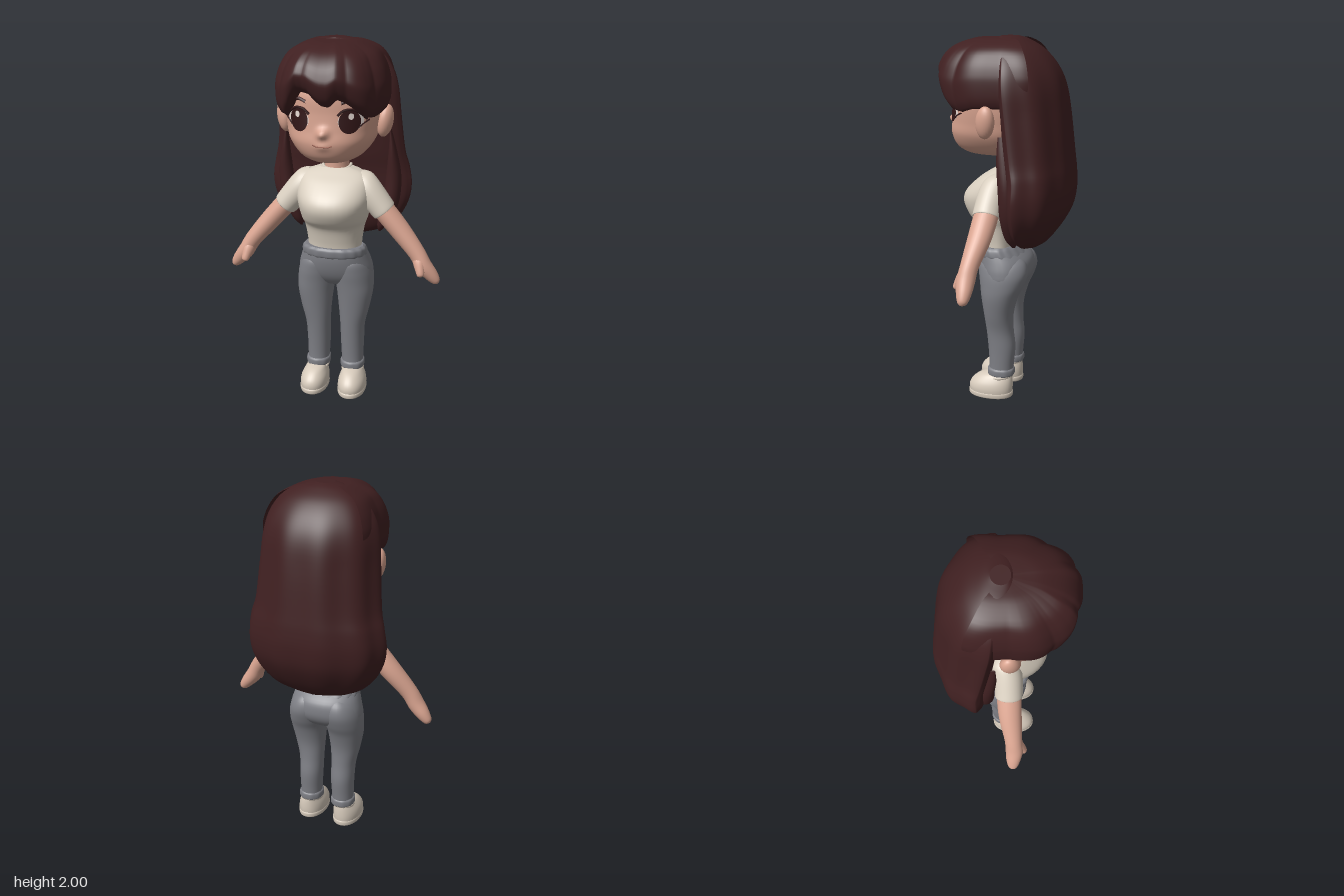
import * as THREE from 'three';

const mat = (name, hex, side = THREE.FrontSide) => {
  const m = new THREE.MeshStandardMaterial({ color: hex, side });
  m.name = name;
  return m;
};

// Catmull-Rom smoothing of section rows
function dense(rows, steps = 5) {
  const out = [], last = rows.length - 1;
  for (let k = 0; k < last; k++) {
    const [p, q, r, s] = [k - 1, k, k + 1, k + 2].map(i => rows[Math.min(last, Math.max(0, i))]);
    for (let j = 0; j < steps; j++) {
      const t = j / steps;
      out.push(q.map((b, c) => 0.5 * (2 * b + (r[c] - p[c]) * t + (2 * p[c] - 5 * b + 4 * r[c] - s[c]) * t * t
        + (3 * b - p[c] - 3 * r[c] + s[c]) * t * t * t)));
    }
  }
  out.push(rows[last]);
  return out;
}

const spow = (v, e) => Math.sign(v) * Math.pow(Math.abs(v), e);
const clamp01 = v => Math.min(1, Math.max(0, v));

function geometry(pos, idx) {
  const g = new THREE.BufferGeometry();
  g.setAttribute('position', new THREE.Float32BufferAttribute(pos, 3));
  g.setIndex(idx);
  g.computeVertexNormals();
  return g;
}

// Closed body from rows [y, rx, zFront, zBack, x, zWidest], lowest row first
function loft(rows, { n = 2, seg = 36, wave = () => 1, steps = 5 } = {}) {
  const full = rows.map(r => [r[0], r[1], r[2], r[3], r[4] ?? 0, r[5] ?? (r[2] + r[3]) / 2]);
  const rings = dense(full, steps), pos = [], idx = [];
  const ring = ([y, rx, zf, zb, x, zc]) => {
    for (let i = 0; i < seg; i++) {
      const a = i / seg * Math.PI * 2, s = spow(Math.sin(a), 2 / n), w = wave(a, y);
      pos.push(x + rx * spow(Math.cos(a), 2 / n) * w, y, zc + (s > 0 ? zf - zc : zc - zb) * s * w);
    }
  };
  rings.forEach(ring);
  for (let j = 0; j < rings.length - 1; j++) for (let i = 0; i < seg; i++) {
    const a = j * seg + i, b = j * seg + (i + 1) % seg;
    idx.push(a, a + seg, b, b, a + seg, b + seg);
  }
  for (const [row, top] of [[rings[0], false], [rings[rings.length - 1], true]]) {
    const o = pos.length / 3;
    ring(row);
    pos.push(row[4], row[0], row[5]);
    for (let i = 0; i < seg; i++) {
      const a = o + i, b = o + (i + 1) % seg;
      idx.push(o + seg, top ? b : a, top ? a : b);
    }
  }
  return geometry(pos, idx);
}

const HEAD = [[1.38, .07, .17, -.02], [1.393, .125, .225, -.06], [1.43, .178, .276, -.12], [1.5, .225, .3, -.17],
  [1.57, .24, .292, -.2], [1.65, .25, .285, -.22], [1.75, .25, .28, -.22], [1.85, .22, .235, -.2], [1.93, .12, .14, -.1]]
  .map(r => [...r, 0, .05]);
const HEAD_N = 2.2, headRings = dense(HEAD, 9);

// Depth of the face surface at a point
function faceZ(x, y) {
  const k = Math.max(1, headRings.findIndex(r => r[0] >= y)), a = headRings[k - 1], b = headRings[k];
  const t = (y - a[0]) / (b[0] - a[0]), rx = a[1] + (b[1] - a[1]) * t, zf = a[2] + (b[2] - a[2]) * t;
  return .05 + (zf - .05) * Math.pow(Math.max(0, 1 - Math.pow(Math.abs(x) / rx, HEAD_N)), 1 / HEAD_N);
}

// Head with a nose and lips raised softly from the face
function headGeometry() {
  const g = loft(HEAD, { n: HEAD_N, seg: 120, steps: 9 }), p = g.attributes.position;
  const bump = (x, y, cy, w, h) => Math.exp(-((x / w) ** 2) - ((y - cy) / h) ** 2);
  for (let i = 0; i < p.count; i++) {
    const x = p.getX(i), y = p.getY(i), z = p.getZ(i);
    if (z > .1) p.setZ(i, z + .036 * bump(x, y, 1.56, .026, .026) + .01 * bump(x, y, 1.493, .035, .022));
  }
  g.computeVertexNormals();
  return g;
}

// Ellipse laid on the face
function faceSpot(x, y, rx, ry, lift) {
  const g = new THREE.RingGeometry(0.001, 1, 32, 5).scale(rx, ry, 1).translate(x, y, 0), p = g.attributes.position;
  for (let i = 0; i < p.count; i++) p.setZ(i, faceZ(p.getX(i), p.getY(i)) + lift);
  g.computeVertexNormals();
  return g;
}

// Thin line drawn on the face
const faceLine = (pts, r, lift = .003) => new THREE.TubeGeometry(new THREE.CatmullRomCurve3(
  pts.map(([x, y]) => new THREE.Vector3(x, y, faceZ(x, y) + lift))), 14, r, 6);

// Fringe: dome over the front of the head, with a lower edge given by angle
function fringe() {
  const edge = [[-115, 1.66], [-75, 1.655], [-58, 1.63], [-45, 1.63], [-33, 1.68], [-22, 1.765], [-10, 1.755], [0, 1.70],
    [4, 1.695], [11, 1.735], [20, 1.715], [33, 1.675], [45, 1.64], [58, 1.63], [75, 1.655], [115, 1.66]];
  const edgeY = d => {
    const k = Math.max(1, edge.findIndex(e => e[0] >= d)), [a, b] = [edge[k - 1], edge[k]];
    return a[1] + (b[1] - a[1]) * (d - a[0]) / (b[0] - a[0]);
  };
  const rows = dense([[0, .002, .002], [.008, .07, .09], [.035, .135, .18], [.15, .22, .268], [.32, .264, .325], [.5, .287, .354],
    [.64, .294, .363], [.84, .294, .345], [.95, .286, .32], [1, .272, .295], [.95, .24, .262]], 4);
  const cols = 138, pos = [], idx = [];
  rows.forEach(([drop, rx, rz], j) => {
    for (let i = 0; i <= cols; i++) {
      const d = -115 + 230 * i / cols, a = d * Math.PI / 180;
      const w = 1 + .045 * clamp01(drop * 4) * (Math.abs(Math.cos(a * 5 - .25)) - .75);
      pos.push(rx * w * spow(Math.sin(a), .8), 1.995 - drop * (1.995 - edgeY(d)), rz * w * spow(Math.cos(a), .8));
      if (j && i) {
        const q = j * (cols + 1) + i, p = q - cols - 1;
        idx.push(p - 1, q - 1, p, p, q - 1, q);
      }
    }
  });
  return geometry(pos, idx);
}

export function createModel() {
  const model = new THREE.Group();
  model.name = 'girl';
  const skin = mat('skin', 0xd9a490), hair = mat('hair', 0x402021, THREE.DoubleSide), shirt = mat('shirt', 0xd9cfc0),
    denim = mat('denim', 0x7e7f85), shoeMat = mat('shoe', 0xd6cabb),
    dark = mat('eyeDark', 0x321718), white = mat('eyeWhite', 0xe6dad4), lip = mat('lip', 0xa86f60);
  const add = (name, geo, m, parent = model) => {
    const mesh = new THREE.Mesh(geo, m);
    mesh.name = name;
    parent.add(mesh);
    return mesh;
  };

  // Head and neck
  add('head', headGeometry(), skin);
  add('neck', loft([[1.27, .078, .05, -.1], [1.32, .067, .045, -.095], [1.42, .066, .05, -.09]]), skin);
  add('mouth', faceLine([[-.05, 1.503], [-.025, 1.494], [0, 1.495], [.025, 1.494], [.05, 1.503]], .0035, .008), lip);

  // Hair
  const strands = (a, y) => 1 + .018 * clamp01((1.97 - y) * 3) * clamp01((.3 - Math.sin(a)) * 3) * Math.cos(10 * a);
  add('backHair', loft([[.88, .05, -.12, -.17, 0, -.14], [.925, .22, -.09, -.235, 0, -.14], [1, .315, -.065, -.295, 0, -.13],
    [1.1, .37, -.05, -.347, 0, -.13], [1.2, .386, -.05, -.365, 0, -.13], [1.3, .372, -.04, -.363, 0, -.13],
    [1.4, .348, -.025, -.353, 0, -.11], [1.6, .327, -.01, -.331, 0, -.08], [1.75, .314, 0, -.305, 0, -.06],
    [1.85, .284, 0, -.26, 0, -.05], [1.93, .224, .02, -.19, 0, -.04], [1.98, .14, .05, -.11, 0, -.03],
    [2, .05, .035, -.06, 0, -.01]], { seg: 120, wave: strands }), hair);
  add('fringe', fringe(), hair);

  // Shirt
  add('shirtBody', loft([[.86, .148, .13, -.05], [.92, .152, .14, -.055], [1, .165, .165, -.065], [1.05, .182, .21, -.075],
    [1.12, .197, .24, -.085], [1.18, .205, .222, -.09], [1.25, .195, .15, -.09], [1.29, .16, .088, -.09],
    [1.315, .085, .045, -.1]].map(r => [...r, 0, .02]), { n: 2.2 }), shirt);
  const collar = add('collar', new THREE.TorusGeometry(.075, .008, 8, 36), shirt);
  collar.rotation.x = Math.PI / 2 + .2;
  collar.position.set(0, 1.318, -.025);

  // Trousers
  add('hips', loft([[.64, .05, .045, -.05], [.66, .14, .085, -.095], [.7, .203, .117, -.13], [.75, .206, .138, -.143],
    [.81, .19, .15, -.13], [.87, .168, .15, -.07]], { n: 2.2 }), denim);
  add('waistband', loft([[.83, .176, .148, -.108], [.842, .18, .156, -.101], [.872, .174, .158, -.078], [.886, .16, .148, -.066]],
    { n: 2.2, seg: 96, wave: a => 1 + .012 * Math.sin(a * 17) }), denim);

  for (const s of [1, -1]) {
    const side = s > 0 ? 'left' : 'right';
    const mirrored = pts => pts.map(([x, y]) => [s * x, y]);

    // Ear
    const ear = add(side + 'Ear', new THREE.SphereGeometry(1, 24, 16).scale(.04, .086, .052), skin);
    ear.position.set(s * .27, 1.587, .042);
    ear.rotation.set(-.15, -s * .3, -s * .15);

    // Eye, lash and brow
    add(side + 'EyeWhite', faceSpot(s * .134, 1.622, .06, .05, .003), white);
    add(side + 'Iris', faceSpot(s * .13, 1.621, .051, .06, .005), dark);
    add(side + 'Highlight', faceSpot(s * .138, 1.648, .013, .016, .007), white);
    add(side + 'Lash', faceLine(mirrored([[.072, 1.652], [.1, 1.677], [.14, 1.682], [.178, 1.66], [.205, 1.628]]), .007), dark);
    add(side + 'LowerLash', faceLine(mirrored([[.17, 1.588], [.19, 1.606], [.215, 1.622]]), .004), dark);
    add(side + 'Brow', faceLine(mirrored([[.09, 1.714], [.13, 1.727], [.18, 1.713]]), .009), hair);

    // Hair lock tip behind the shoulder
    add(side + 'HairLock', loft([[.925, .006, -.09, -.105, s * .225], [.98, .032, -.055, -.13, s * .245], [1.1, .045, -.04, -.14, s * .285],
      [1.25, .042, -.035, -.13, s * .3], [1.4, .022, -.025, -.1, s * .295], [1.52, .004, -.03, -.06, s * .285]], { seg: 20 }), hair);

    // Arm with sleeve, built hanging down and swung outward
    const arm = new THREE.Group();
    arm.name = side + 'Arm';
    arm.position.set(s * .18, 1.2, 0);
    arm.rotation.z = s * .69;
    model.add(arm);
    add(side + 'ArmAndHand', loft([[-.627, .008, .082, .062], [-.612, .024, .097, .045], [-.565, .037, .113, .033], [-.5, .045, .125, .028],
      [-.42, .046, .117, .02, s * .012], [-.27, .055, .11, -.014, s * .01], [-.12, .058, .103, -.028, s * .005], [0, .055, .085, -.03]],
      { seg: 28 }), skin, arm);
    add(side + 'Sleeve', loft([[-.138, .058, .1, -.028, s * .004], [-.142, .066, .11, -.036, s * .004], [-.1, .07, .11, -.038, s * .004],
      [0, .078, .105, -.052], [.06, .07, .085, -.06], [.1, .04, .05, -.04]], { seg: 32 }), shirt, arm);
    const thumb = add(side + 'Thumb', loft([[-.058, .006, .005, -.005], [-.05, .018, .016, -.016], [-.02, .025, .024, -.024],
      [.03, .033, .03, -.03], [.08, .02, .02, -.02]], { seg: 20 }), skin);
    thumb.position.set(s * .482, .818, .108);
    thumb.rotation.set(-.5, 0, s * .2);

    // Leg, cuff and shoe
    add(side + 'Leg', loft([[.14, .06, .078, -.058, s * .1], [.2, .062, .077, -.062, s * .099], [.3, .066, .083, -.07, s * .098],
      [.4, .07, .092, -.06, s * .1], [.5, .085, .103, -.062, s * .108], [.6, .1, .115, -.088, s * .112], [.67, .107, .123, -.12, s * .107],
      [.74, .105, .132, -.14, s * .1], [.8, .085, .13, -.125, s * .095], [.84, .04, .09, -.08, s * .09]], { n: 2.1 }), denim);
    add(side + 'Cuff', loft([[.128, .06, .078, -.058, s * .1], [.134, .068, .086, -.066, s * .1], [.162, .068, .086, -.066, s * .1],
      [.172, .06, .077, -.058, s * .1]], { n: 2.15, seg: 48, wave: a => 1 + .012 * Math.sin(a * 9) }), denim);
    add(side + 'Shoe', loft([[.015, .077, .19, -.055, s * .11], [.05, .079, .193, -.058, s * .11], [.08, .074, .182, -.058, s * .109],
      [.108, .062, .155, -.056, s * .107], [.128, .05, .12, -.052, s * .104], [.142, .033, .07, -.045, s * .102]], { n: 2.15 }), shoeMat);
    add(side + 'Sole', loft([[0, .074, .19, -.055, s * .11], [.006, .079, .195, -.059, s * .11], [.024, .08, .196, -.06, s * .11],
      [.032, .076, .19, -.056, s * .11]], { n: 2.15 }), shoeMat);
    add(side + 'ShoeCollar', new THREE.TorusGeometry(.054, .011, 8, 28).rotateX(Math.PI / 2 + .2).scale(1, 1, 1.2)
      .translate(s * .102, .118, .015), shoeMat);
  }
  return model;
}
